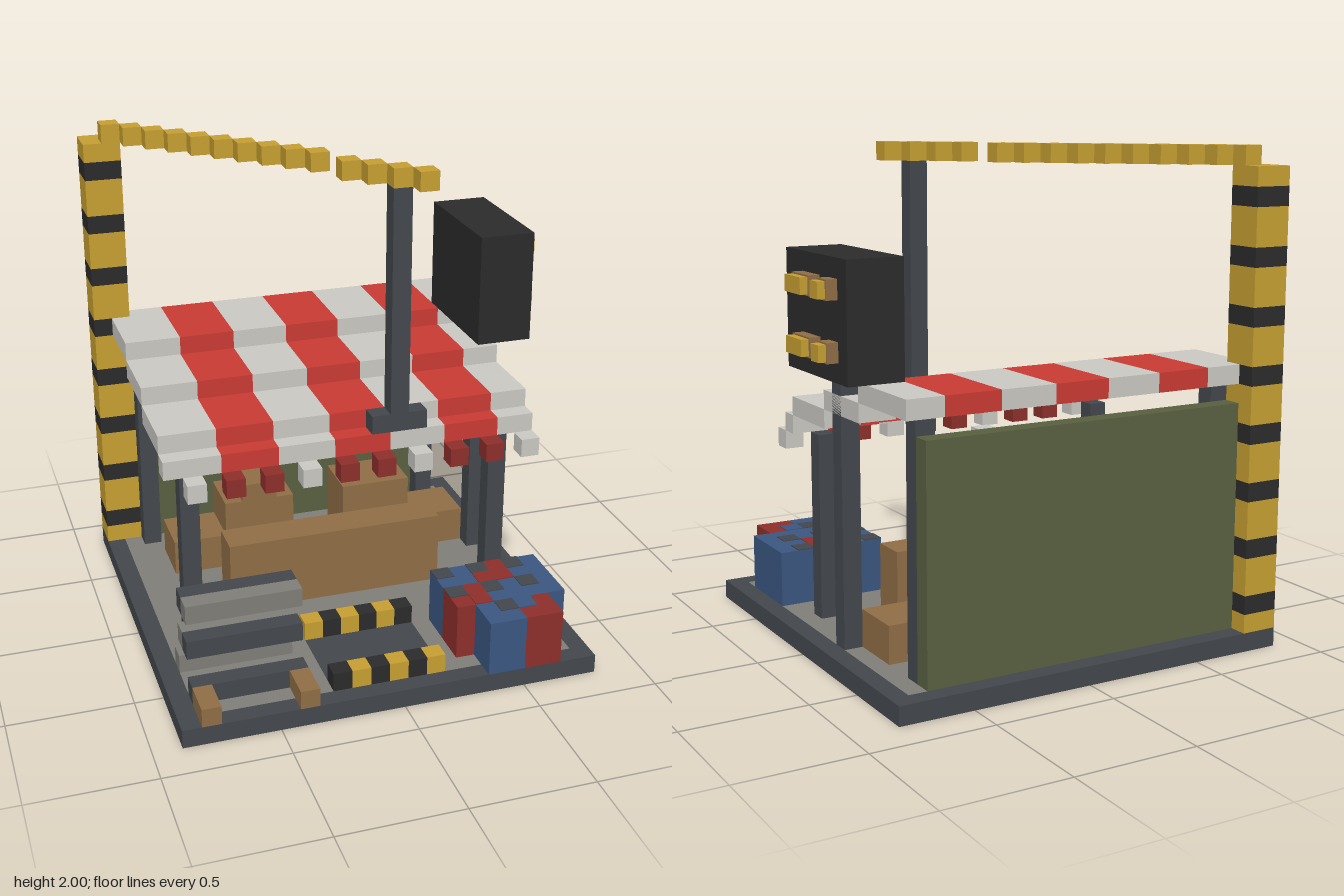
import * as THREE from 'three';

const U = 1 / 13; // block size: everything sits on one cubic grid

const paint = (name, color) => {
  const m = new THREE.MeshStandardMaterial({ color });
  m.name = name;
  return m;
};

export function createModel() {
  const model = new THREE.Group();
  model.name = 'workStall';
  const slate = paint('slate', 0x43474c);
  const black = paint('black', 0x2b2b2b);
  const yellow = paint('yellow', 0xc69f32);
  const brown = paint('brown', 0x8f6d45);
  const green = paint('green', 0x586040);
  const blue = paint('blue', 0x3a5680);
  const darkRed = paint('darkRed', 0x8d2f2a);
  const grey = paint('grey', 0x7f7d77);
  const red = paint('red', 0xc93a34);
  const white = paint('white', 0xc9c8c2);

  // Box spanning grid ranges: x in i0..i1, y in j0..j1, z in k0..k1
  const block = (name, mat, [i0, i1], [j0, j1], [k0, k1]) => {
    const mesh = new THREE.Mesh(
      new THREE.BoxGeometry((i1 - i0) * U, (j1 - j0) * U, (k1 - k0) * U), mat);
    mesh.position.set(((i0 + i1) / 2 - 11.5) * U, ((j0 + j1) / 2) * U, ((k0 + k1) / 2 - 11) * U);
    mesh.name = name;
    model.add(mesh);
    return mesh;
  };
  const one = (n) => [n, n + 1];

  // Base: slate rim around a grey floor with a slate pit at the front
  block('baseRimBack', slate, [0, 22], [0, 1], [0, 1]);
  block('baseRimFront', slate, [0, 22], [0, 1], [21, 22]);
  block('baseRimRight', slate, [0, 1], [0, 1], [1, 21]);
  block('baseRimLeft', slate, [21, 22], [0, 1], [1, 21]);
  block('floorBack', grey, [1, 21], [0, 1], [1, 16]);
  block('floorRight', grey, [1, 8], [0, 1], [16, 21]);
  block('floorLeft', grey, [14, 21], [0, 1], [16, 21]);
  block('floorPit', slate, [8, 14], [0, 1], [16, 21]);

  // Striped barriers on both sides of the pit
  for (let i = 8; i < 14; i++) {
    block('barrierFront', i % 2 ? yellow : black, one(i), [1, 2], [20, 21]);
    block('barrierBack', i % 2 ? black : yellow, one(i), [1, 2], [15, 16]);
  }

  // Corner mast with warning bands
  for (let j = 1; j < 25;) {
    const band = j % 3 === 2;
    const end = band ? j + 1 : Math.min(25, j === 1 ? 2 : j + 2);
    block('mast', band ? black : yellow, [0, 2], [j, end], [0, 2]);
    j = end;
  }
  // Diagonal chain of cubes from the mast to the roof post
  for (let i = 1; i < 15; i++) {
    const k = i < 11 ? i : i + 1;
    block('chainLink', yellow, one(i), [25, 26], one(k));
  }
  block('roofPostFoot', slate, [12, 15], [12, 13], [14, 15]);
  block('roofPost', slate, [13, 14], [13, 25], [14, 15]);

  // Back wall and awning posts
  block('backWall', green, [2, 20], [1, 13], [1, 2]);
  for (const i of [2, 19]) {
    block('backPost', slate, one(i), [1, 14], [2, 3]);
    block('frontPost', slate, one(i), [1, 11], [13, 14]);
  }

  // Stepped awning with stripes
  const steps = [[14, 1, 6], [13, 6, 10], [12, 10, 14], [11, 14, 15]];
  const stripes = [1, 4, 7, 10, 13, 16, 19, 21];
  for (const [j, k0, k1] of steps) {
    for (let s = 0; s < 7; s++) {
      block('awningStripe', s % 2 ? red : white, [stripes[s], stripes[s + 1]], one(j), [k0, k1]);
    }
  }
  for (let i = 2; i <= 20; i += 2) {
    block('awningFringe', i % 6 === 2 ? white : darkRed, one(i), [10, 11], [15, 16]);
  }
  block('hangingLamp', white, [11, 12], [10, 11], [9, 11]);

  // Light box on its own post, lamps facing sideways
  block('lightBoxPost', slate, [20, 21], [1, 15], [8, 9]);
  block('lightBox', black, [19, 22], [15, 21], [5, 12]);
  for (const j of [16, 19]) {
    for (const z of [[6, 7], [8, 10]]) {
      block('lampHousing', brown, [22, 22.6], one(j), z);
      block('lampLens', yellow, [22.6, 23], [j + 0.08, j + 0.92], [z[0] + 0.08, z[1] - 0.08]);
    }
  }

  // Crates
  block('counterCrate', brown, [5, 17], [1, 5], [10, 12]);
  block('lowCrateRight', brown, [3, 6], [1, 3], [4, 7]);
  block('tallCrateRight', brown, [6, 10], [1, 5], [4, 7]);
  block('topCrate', brown, [7, 9], [5, 6], [4, 7]);
  block('tallCrateLeft', brown, [13, 17], [1, 5], [4, 7]);
  block('lowCrateLeft', brown, [17, 20], [1, 3], [5, 8]);

  // Plank stack and its timber feet
  const planks = [[5, 18, grey], [5, 17, slate], [3, 18, slate], [3, 17, grey], [1, 19, slate], [1, 16, grey]];
  for (const [j, k, mat] of planks) block('plank', mat, [1, 7], one(j), one(k));
  for (const i of [1, 6]) block('timberFoot', brown, one(i), [1, 2], [20, 22]);

  // Patched cargo
  block('cargo', blue, [16, 21], [1, 4], [16, 20]);
  block('cargoEdge', blue, [15, 16], [1, 4], [16, 18]);
  block('cargoCorner', darkRed, [15, 16], [1, 4], [18, 20]);
  block('cargoFrontBlue', blue, [16, 18], [1, 4], [20, 22]);
  block('cargoFrontRed', darkRed, [18, 20], [1, 4], [20, 22]);
  const patch = (mat, i, k) => block('cargoPatch', mat, one(i), [4, 4.05], one(k));
  for (const [i, k] of [[18, 16], [17, 17], [18, 17], [16, 18], [16, 19]]) patch(darkRed, i, k);
  for (const k of [16, 18]) for (const i of [15, 17, 19]) patch(slate, i, k);
  patch(blue, 18, 20);
  patch(slate, 17, 20);

  return model;
}
